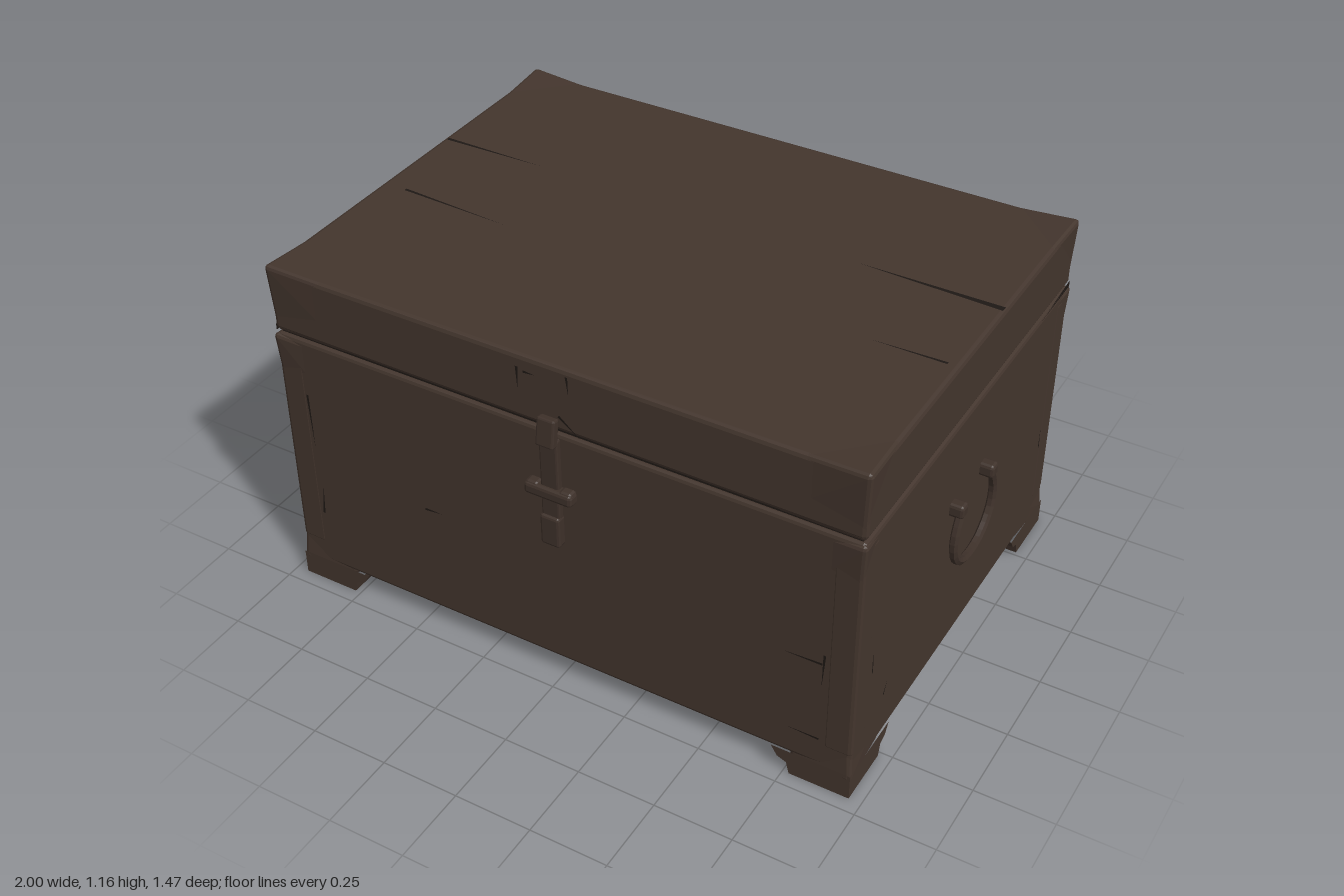
import * as THREE from 'three';
import { RoundedBoxGeometry } from 'three/addons/geometries/RoundedBoxGeometry.js';

const W = 0.956, D = 0.698; // half width and half depth of the chest

export function createModel() {
  const chest = new THREE.Group();
  chest.name = 'woodenChest';

  const wood = new THREE.MeshStandardMaterial({ color: 0x43352d, flatShading: true });
  wood.name = 'darkWood';
  const iron = new THREE.MeshStandardMaterial({ color: 0x3e312a, flatShading: true });
  iron.name = 'agedIron';
  const gap = new THREE.MeshStandardMaterial({ color: 0x1e1815, side: THREE.DoubleSide });
  gap.name = 'crackShadow';

  const add = (name, geometry, material, parent = chest) => {
    const mesh = new THREE.Mesh(geometry, material);
    mesh.name = name;
    parent.add(mesh);
    return mesh;
  };

  // Softly bevelled block given by its limits
  const block = (x0, x1, y0, y1, z0, z1, r = 0.01) =>
    new RoundedBoxGeometry(x1 - x0, y1 - y0, z1 - z0, 1, r)
      .translate((x0 + x1) / 2, (y0 + y1) / 2, (z0 + z1) / 2);

  // Body, lid and the recessed core seen through the seam
  add('body', block(-W, W, 0.078, 0.924, -D, D, 0.012), wood);
  add('lid', block(-W, W, 0.936, 1.148, -D, D, 0.014), wood);
  add('seam', new THREE.BoxGeometry(2 * W - 0.03, 0.04, 2 * D - 0.03).translate(0, 0.93, 0), gap);

  // Swollen corner: outer faces sink into the chest away from the corner
  const corner = (len, y0, y1, upward) => {
    const ex = W + 0.006, ez = D + 0.008;
    const g = block(ex - len, ex, y0, y1, ez - len, ez, 0.012);
    const p = g.attributes.position;
    for (let i = 0; i < p.count; i++) {
      const x = p.getX(i), y = p.getY(i), z = p.getZ(i);
      const tx = (ex - x) / len, tz = (ez - z) / len;
      const ty = upward === 0 ? 0 : upward > 0 ? (y1 - y) / (y1 - y0) : (y - y0) / (y1 - y0);
      p.setXYZ(i,
        x - 0.012 * Math.max(tz, ty * 0.8) * (1 - tx),
        y - (upward > 0 ? 0.014 * Math.max(tx, tz) * (1 - ty) : 0),
        z - 0.013 * Math.max(tx, ty * 0.8) * (1 - tz));
    }
    g.computeVertexNormals();
    return g;
  };

  // Foot: stacked square sections that flare up to the body, fixed at the outer corner
  const foot = () => {
    const levels = [[0, 0.19], [0.04, 0.2], [0.052, 0.23], [0.085, 0.25]];
    const ex = W + 0.004, ez = D + 0.006, pos = [], index = [];
    for (const [y, s] of levels) pos.push(ex, y, ez, ex, y, ez - s, ex - s, y, ez - s, ex - s, y, ez);
    for (let l = 0; l < levels.length - 1; l++)
      for (let k = 0; k < 4; k++) {
        const a = l * 4 + k, b = l * 4 + (k + 1) % 4;
        index.push(a, b, b + 4, a, b + 4, a + 4);
      }
    index.push(0, 2, 1, 0, 3, 2);
    const g = new THREE.BufferGeometry();
    g.setAttribute('position', new THREE.Float32BufferAttribute(pos, 3));
    g.setIndex(index);
    g.computeVertexNormals();
    return g;
  };

  const cornerParts = [
    ['foot', foot()],
    ['lidCorner', corner(0.27, 0.932, 1.157, 1)],
    ['upperBodyCorner', corner(0.16, 0.74, 0.922, 1)],
    ['lowerBodyCorner', corner(0.2, 0.06, 0.18, -1)],
    ['cornerPost', block(W - 0.09, W + 0.001, 0.15, 0.9, D - 0.09, D + 0.001, 0.012)],
  ];
  for (const sx of [1, -1]) for (const sz of [1, -1])
    for (const [name, geometry] of cornerParts) {
      const mesh = add(name, geometry, wood);
      mesh.scale.set(sx, 1, sz);
    }

  // Latches on front and back: hinged strap with a cross bar
  for (const turn of [0, Math.PI]) {
    const latch = new THREE.Group();
    latch.name = turn ? 'backLatch' : 'frontLatch';
    latch.rotation.y = turn;
    add('strap', block(-0.03, 0.03, 0.535, 0.91, D - 0.01, 0.717, 0.006), iron, latch);
    const top = add('strapTop', block(-0.029, 0.029, -0.045, 0.045, -0.014, 0.014, 0.006), iron, latch);
    top.position.set(0, 0.935, 0.715);
    top.rotation.x = -0.15;
    add('strapEnd', block(-0.032, 0.032, 0.535, 0.64, D - 0.01, 0.727, 0.008), iron, latch);
    add('crossBar', block(-0.078, 0.078, 0.703, 0.742, D - 0.01, 0.732, 0.01), iron, latch);
    for (const s of [1, -1])
      add('barKnob', block(s * 0.055 - 0.022, s * 0.055 + 0.022, 0.7, 0.746, D - 0.01, 0.727, 0.01), iron, latch);
    chest.add(latch);
  }

  // Side handles: drooping ring between two knobs
  const half = [[0.105, 0.635], [0.138, 0.55], [0.13, 0.48], [0.075, 0.42]];
  const path = [...half, [0, 0.403], ...half.slice().reverse().map(([z, y]) => [-z, y])]
    .map(([z, y]) => new THREE.Vector3(0.984, y, z));
  const ring = new THREE.TubeGeometry(new THREE.CatmullRomCurve3(path), 24, 0.0135, 6);
  for (const turn of [0, Math.PI]) {
    const handle = new THREE.Group();
    handle.name = turn ? 'rightHandle' : 'leftHandle';
    handle.rotation.y = turn;
    add('ring', ring, iron, handle);
    for (const s of [1, -1])
      add('knob', block(W - 0.01, 0.999, 0.612, 0.656, s * 0.107 - 0.021, s * 0.107 + 0.021, 0.01), iron, handle);
    chest.add(handle);
  }

  // Cracks: thin slivers, [u0, v0, u1, v1, width at the start]
  const cracks = {
    top: [[-0.94, 0.17, -0.59, 0.172, 0.012], [0.95, 0.158, 0.49, 0.168, 0.02],
      [-0.87, -0.15, -0.5, -0.17, 0.01], [0.92, -0.157, 0.69, -0.16, 0.009]],
    front: [[-0.865, 0.73, -0.86, 0.53, 0.008], [-0.86, 0.28, -0.85, 0.38, 0.008],
      [-0.46, 0.462, -0.4, 0.465, 0.008], [0.855, 0.465, 0.73, 0.462, 0.008],
      [0.86, 0.5, 0.855, 0.38, 0.008], [0.855, 0.18, 0.75, 0.182, 0.007],
      [-0.1, 1.11, -0.1, 1.04, 0.009], [-0.08, 1.1, -0.04, 1.1, 0.008],
      [0.06, 1.13, 0.065, 1.07, 0.008], [0.03, 0.99, 0.1, 0.935, 0.008]],
    side: [[-0.69, 0.93, -0.45, 0.925, 0.008], [-0.69, 0.94, -0.53, 0.932, 0.014],
      [0.6, 0.4, 0.605, 0.48, 0.008], [-0.602, 0.37, -0.6, 0.45, 0.008],
      [0.51, 0.24, 0.49, 0.28, 0.008]],
  };
  const sliver = ([u0, v0, u1, v1, w]) => {
    const l = Math.hypot(u1 - u0, v1 - v0), nx = -(v1 - v0) / l * w / 2, ny = (u1 - u0) / l * w / 2;
    return new THREE.ShapeGeometry(new THREE.Shape([
      new THREE.Vector2(u0 + nx, v0 + ny), new THREE.Vector2(u0 - nx, v0 - ny), new THREE.Vector2(u1, v1)]));
  };
  const place = (list, name, lift, rx, ry) => {
    for (const c of list) add(name, sliver(c).translate(0, 0, lift).rotateX(rx).rotateY(ry), gap);
  };
  place(cracks.top, 'topCrack', 1.15, -Math.PI / 2, 0);
  for (const turn of [0, Math.PI]) {
    place(cracks.front, turn ? 'backCrack' : 'frontCrack', D + 0.003, 0, turn);
    // On the sides u runs towards the back, so mirror the list
    place(cracks.side.map(([a, b, c, d, w]) => [-a, b, -c, d, w]),
      turn ? 'rightCrack' : 'leftCrack', W + 0.003, 0, Math.PI / 2 + turn);
  }
  return chest;
}
